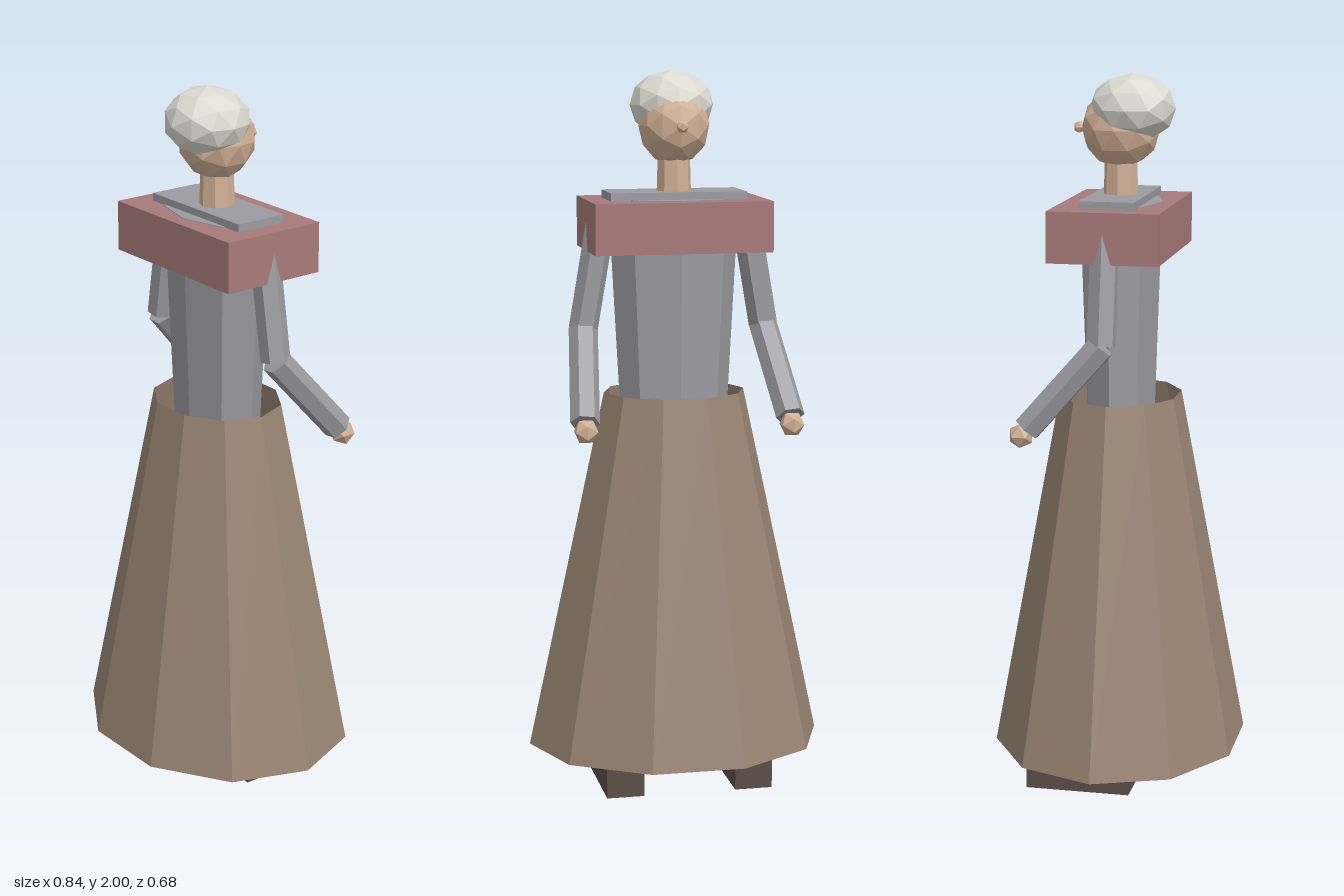
import * as THREE from 'three';

const material = (name, color, side = THREE.FrontSide) =>
  new THREE.MeshStandardMaterial({ name, color, side, flatShading: true });

export function createModel() {
  const model = new THREE.Group();
  model.name = 'figure';

  const skirtBrown = material('skirt brown', 0x9a8574, THREE.DoubleSide);
  const blouseGrey = material('blouse grey', 0x9b9ba1);
  const shawlPink = material('shawl pink', 0xa87a7a);
  const skin = material('skin', 0xd2b096);
  const hairWhite = material('hair white', 0xdadad0);
  const shoeBrown = material('shoe brown', 0x5c4e48);

  const add = (name, geometry, mat, x = 0, y = 0, z = 0) => {
    const mesh = new THREE.Mesh(geometry, mat);
    mesh.name = name;
    mesh.position.set(x, y, z);
    model.add(mesh);
    return mesh;
  };

  // Tapered prism with a corner on the x axis
  const prism = (top, bottom, height, sides, depth = 1, open = false) =>
    new THREE.CylinderGeometry(top, bottom, height, sides, 1, open, Math.PI / 2)
      .scale(1, 1, depth);

  // Six-sided limb between two points
  const limb = (name, from, to, radius, mat) => {
    const a = new THREE.Vector3(...from);
    const b = new THREE.Vector3(...to);
    const dir = a.clone().sub(b);
    const mid = a.clone().add(b).multiplyScalar(0.5);
    const mesh = add(name, prism(radius, radius, dir.length(), 6), mat, ...mid.toArray());
    mesh.quaternion.setFromUnitVectors(new THREE.Vector3(0, 1, 0), dir.normalize());
  };

  // Clothes
  add('skirt', prism(0.2, 0.42, 1.01, 10, 0.85, true), skirtBrown, 0, 0.605);
  add('torso', prism(0.185, 0.153, 0.6, 8, 0.63), blouseGrey, 0, 1.35);
  add('shawl', new THREE.BoxGeometry(0.495, 0.14, 0.308), shawlPink, 0, 1.578);
  add('collar', new THREE.BoxGeometry(0.38, 0.05, 0.152), blouseGrey, 0, 1.645);

  // Head
  add('neck', prism(0.045, 0.05, 0.16, 8), skin, 0, 1.7);
  add('head', new THREE.IcosahedronGeometry(1, 1).scale(0.1, 0.11, 0.11), skin, 0, 1.85);
  add('hair', new THREE.IcosahedronGeometry(1, 1).scale(0.118, 0.095, 0.12), hairWhite,
    0, 1.905, 0.033);
  add('nose', new THREE.IcosahedronGeometry(0.018, 0), skin, 0, 1.85, -0.116);

  // Arms and legs
  for (const [side, s] of [['left', 1], ['right', -1]]) {
    const elbow = [s * 0.257, 1.29, 0];
    const wrist = [s * 0.287, 1.06, -0.2];
    limb(side + 'UpperArm', [s * 0.204, 1.6, 0], elbow, 0.041, blouseGrey);
    limb(side + 'Forearm', elbow, wrist, 0.041, blouseGrey);
    add(side + 'Hand', new THREE.IcosahedronGeometry(0.036, 0), skin, s * 0.287, 1.04, -0.217);
    limb(side + 'Leg', [s * 0.1, 1.06, 0], [s * 0.183, 0.04, 0], 0.054, skirtBrown);
    add(side + 'Shoe', new THREE.BoxGeometry(0.106, 0.1, 0.295), shoeBrown,
      s * 0.183, 0.05, -0.077);
  }

  return model;
}
